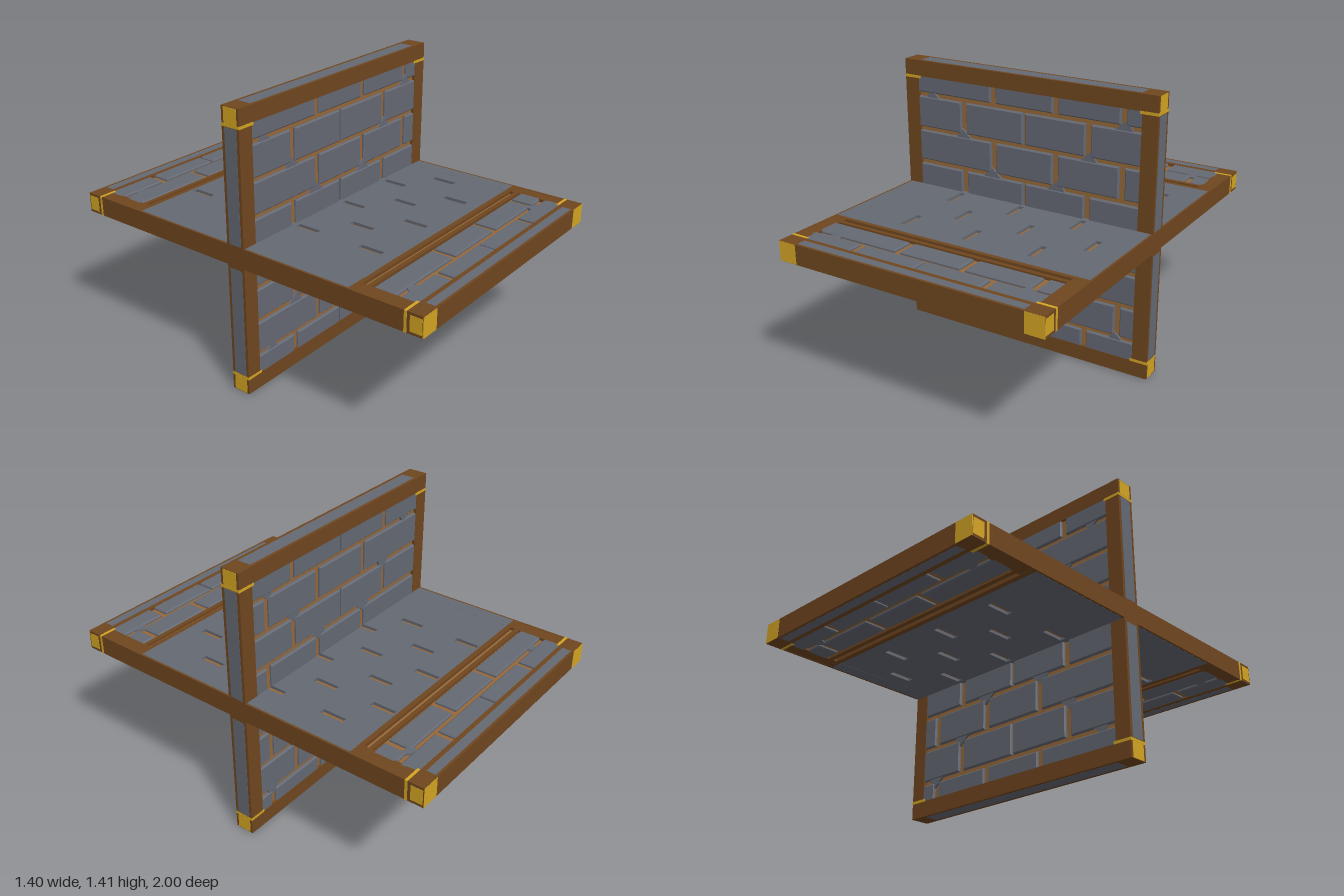
import * as THREE from 'three';

const paint = (name, color) => Object.assign(new THREE.MeshStandardMaterial({ color }), { name });

export function createModel() {
  const stone = paint('grey stone', 0x656973);
  const timber = paint('brown timber', 0x70461f);
  const mortar = paint('light brown mortar', 0x96683a);
  const gold = paint('gold fittings', 0xd4a523);

  const model = new THREE.Group();
  model.name = 'crossedBrickPanels';

  const box = (parent, name, mat, w, h, d, x, y, z) => {
    const mesh = new THREE.Mesh(new THREE.BoxGeometry(w, h, d), mat);
    mesh.name = name;
    mesh.position.set(x, y, z);
    parent.add(mesh);
    return mesh;
  };
  const rect = (target, x0, y0, x1, y1) => {
    target.moveTo(x0, y0);
    target.lineTo(x1, y0);
    target.lineTo(x1, y1);
    target.lineTo(x0, y1);
    target.closePath();
    return target;
  };

  // Bevelled brick standing out towards +z
  const brick = (parent, x0, x1, y0, y1) => {
    const b = 0.006;
    const shape = rect(new THREE.Shape(), x0 + b, y0 + b, x1 - b, y1 - b);
    const geo = new THREE.ExtrudeGeometry(shape, {
      depth: 0.012, bevelEnabled: true, bevelThickness: b, bevelSize: b, bevelSegments: 1,
    });
    const mesh = new THREE.Mesh(geo, stone);
    mesh.name = 'brick';
    mesh.position.z = 0.031;
    parent.add(mesh);
  };
  // One course of bricks between y0 and y1, split at the joints
  const course = (parent, y0, y1, even) => {
    const joints = even ? [-0.35, 0, 0.35] : [-0.175, 0.175, 0.53];
    const stops = [-0.635, ...joints, 0.635];
    for (let i = 0; i < stops.length - 1; i++) {
      const gap = (k) => (k === 0 || k === stops.length - 1 ? 0 : stops[k] === 0 ? 0.006 : 0.015);
      brick(parent, stops[i] + gap(i), stops[i + 1] - gap(i + 1), y0, y1);
    }
  };
  // Broken three-cornered chips lodged in the joints
  const chip = (parent, x, y, dir) => {
    const s = new THREE.Shape();
    const pts = [[-0.05, -0.03], [0.05, -0.03], [0.02, 0.03]].map(([a, b]) => new THREE.Vector2(a * dir, b));
    s.setFromPoints(pts);
    const mesh = new THREE.Mesh(new THREE.ExtrudeGeometry(s, { depth: 0.012, bevelEnabled: false }), stone);
    mesh.name = 'brickChip';
    mesh.position.set(x, y, 0.033);
    parent.add(mesh);
  };

  // ---- Upright wall ----
  const wall = new THREE.Group();
  wall.name = 'wall';
  model.add(wall);
  box(wall, 'wallMortar', mortar, 1.3, 1.3, 0.07, 0, 0.705, 0);

  const rows = [
    [0.07, 0.17, true], [0.19, 0.345, false], [0.368, 0.52, true], [0.543, 0.68, false],
    [0.74, 0.873, true], [0.895, 1.05, false], [1.07, 1.228, true], [1.25, 1.34, false],
  ];
  const chips = [
    [-0.53, 0.18, 1], [0.53, 0.18, -1], [-0.35, 0.37, 1], [0.35, 0.37, -1], [-0.18, 0.55, -1], [0.17, 0.55, -1],
    [-0.18, 0.9, -1], [0.18, 0.9, 1], [-0.35, 1.07, -1], [0.35, 1.07, 1], [-0.53, 1.24, -1], [0.53, 1.25, 1],
  ];
  for (const side of ['front', 'back']) {
    const face = new THREE.Group();
    face.name = side + 'Brickwork';
    for (const [y0, y1, even] of rows) course(face, y0, y1, even);
    for (const [x, y, dir] of chips) chip(face, x, y, dir);
    // Turning about x keeps the joints at the same x
    if (side === 'back') {
      face.rotation.x = Math.PI;
      face.position.y = 1.41;
    }
    wall.add(face);
  }
  for (const y of [0.04, 1.37]) {
    const out = y > 0.7 ? 1 : -1;
    box(wall, 'wallRail', timber, 1.4, 0.08, 0.1, 0, y, 0);
    box(wall, 'railCap', stone, 1.22, 0.002, 0.07, 0, y + out * 0.0395, 0);
    for (const s of [-1, 1]) {
      box(wall, 'cornerBand', gold, 0.092, 0.014, 0.102, s * 0.655, y - out * 0.045, 0);
      box(wall, 'cornerPlate', gold, 0.002, 0.075, 0.075, s * 0.7, y, 0);
    }
  }
  for (const s of [-1, 1]) {
    box(wall, 'wallPost', timber, 0.08, 1.25, 0.1, s * 0.66, 0.705, 0);
    for (const y of [0.37, 1.04]) box(wall, 'postCap', stone, 0.002, 0.55, 0.07, s * 0.7, y, 0);
  }

  // ---- Level platform, built face up in x and depth, then laid flat ----
  const platform = new THREE.Group();
  platform.name = 'platform';
  platform.position.y = 0.71;
  model.add(platform);
  box(platform, 'platformMortar', mortar, 1.3, 0.07, 1.9, 0, 0, 0);

  // Paving slab pierced by staggered slots
  const slab = rect(new THREE.Shape(), -0.69, -0.625, 0.69, 0.625);
  const slot = (x, z, w) => slab.holes.push(rect(new THREE.Path(), x - w, z - 0.062, x + w, z + 0.062));
  for (const z of [-0.57, -0.23, 0.13, 0.49]) for (const x of [-0.35, 0, 0.35]) slot(x, -Math.min(0.55, Math.max(-0.55, z)), 0.015);
  for (const z of [-0.41, -0.07, 0.31]) for (const x of [-0.175, 0.175, 0.53]) slot(x, -z, 0.015);
  const slabGeo = new THREE.ExtrudeGeometry(slab, { depth: 0.019, bevelEnabled: false });

  for (const side of ['top', 'bottom']) {
    const face = new THREE.Group();
    face.name = side + 'Paving';
    face.rotation.x = side === 'top' ? -Math.PI / 2 : Math.PI / 2;
    const paving = new THREE.Mesh(slabGeo, stone);
    paving.name = 'pavingSlab';
    paving.position.z = 0.031;
    face.add(paving);
    // Brick courses at both ends
    course(face, 0.7, 0.81, false);
    course(face, 0.832, 0.93, true);
    course(face, -0.81, -0.7, false);
    course(face, -0.93, -0.832, true);
    for (const e of [-1, 1]) {
      chip(face, -0.53, e * 0.82, 1);
      chip(face, 0.53, e * 0.82, -1);
      box(face, 'endRailCap', stone, 1.2, 0.045, 0.002, 0, e * 0.965, 0.0495);
    }
    platform.add(face);
  }
  for (const s of [-1, 1]) {
    // Side beams: full height at the ends, lower edge strip beside the slab
    box(platform, 'sideBeam', timber, 0.08, 0.098, 1.84, s * 0.66, 0, 0);
    box(platform, 'endRail', timber, 1.4, 0.1, 0.08, 0, 0, s * 0.96);
    box(platform, 'crossBeam', timber, 1.4, 0.1, 0.025, 0, 0, s * 0.635);
    box(platform, 'crossBeam', timber, 1.25, 0.098, 0.022, 0, 0, s * 0.68);
    box(platform, 'sideSkin', timber, 0.01, 0.1, 1.84, s * 0.695, 0, 0);
    for (const e of [-1, 1]) {
      // Gold fittings on each corner
      box(platform, 'endPlate', gold, 0.095, 0.098, 0.004, s * 0.6525, 0, e * 0.999);
      box(platform, 'cornerBand', gold, 0.092, 0.102, 0.014, s * 0.655, 0, e * 0.913);
      box(platform, 'sidePlate', gold, 0.002, 0.075, 0.06, s * 0.7, 0, e * 0.965);
      // Stone cover along the middle of the side beams
      box(platform, 'beamCover', stone, 0.07, 0.004, 1.23, s * 0.655, e * 0.0485, 0);
    }
  }
  return model;
}
